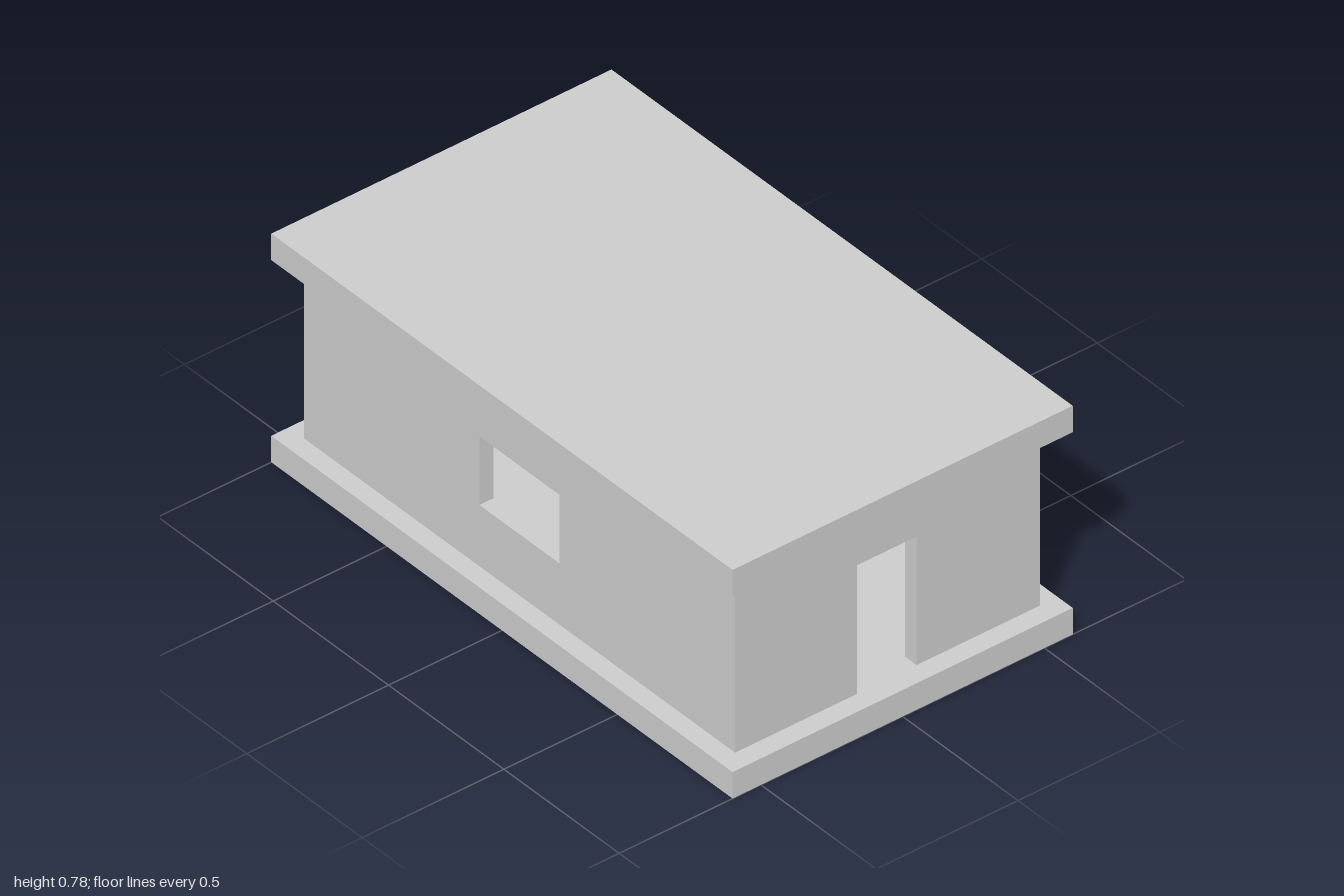
import * as THREE from 'three';

const material = new THREE.MeshStandardMaterial({ color: 0xcccccc, flatShading: true });
const SLAB = 0.09, WALL_H = 0.597, T = 0.05; // slab height, wall height, wall thickness
const HALF_X = 0.935, HALF_Z = 0.538; // outer wall faces

function addMesh(group, name, geometry, x, y, z) {
  const mesh = new THREE.Mesh(geometry, material);
  mesh.name = name;
  mesh.position.set(x, y, z);
  group.add(mesh);
}

// Upright wall in the XY plane, centred in depth, from a closed outline and optional holes
function wallGeometry(outline, holes = []) {
  const toPoints = list => list.map(([x, y]) => new THREE.Vector2(x, y));
  const shape = new THREE.Shape(toPoints(outline));
  for (const hole of holes) shape.holes.push(new THREE.Path(toPoints(hole)));
  const geometry = new THREE.ExtrudeGeometry(shape, { depth: T, bevelEnabled: false });
  return geometry.translate(0, 0, -T / 2);
}

// End wall with a doorway reaching the floor, turned so its width runs along z
function endWallGeometry(doorZ) {
  const w = HALF_Z - T, d = 0.105, top = 0.437;
  return wallGeometry([
    [-w, 0], [doorZ - d, 0], [doorZ - d, top], [doorZ + d, top],
    [doorZ + d, 0], [w, 0], [w, WALL_H], [-w, WALL_H],
  ]).rotateY(-Math.PI / 2);
}

export function createModel() {
  const group = new THREE.Group();
  group.name = 'house';

  // Matching floor and roof slabs
  const slab = new THREE.BoxGeometry(2, SLAB, 1.2);
  addMesh(group, 'floorSlab', slab, 0, SLAB / 2, 0);
  addMesh(group, 'roofSlab', slab, 0, SLAB * 1.5 + WALL_H, 0);

  // Long walls: window in the front, plain back
  const outline = [[-HALF_X, 0], [HALF_X, 0], [HALF_X, WALL_H], [-HALF_X, WALL_H]];
  const windowHole = [[-0.174, 0.208], [-0.174, 0.441], [0.174, 0.441], [0.174, 0.208]];
  addMesh(group, 'frontWall', wallGeometry(outline, [windowHole]), 0, SLAB, HALF_Z - T / 2);
  addMesh(group, 'backWall', wallGeometry(outline), 0, SLAB, -HALF_Z + T / 2);

  // End walls: one central doorway, one close to the front corner
  addMesh(group, 'leftWall', endWallGeometry(0.003), HALF_X - T / 2, SLAB, 0);
  addMesh(group, 'rightWall', endWallGeometry(0.35), -HALF_X + T / 2, SLAB, 0);

  return group;
}
